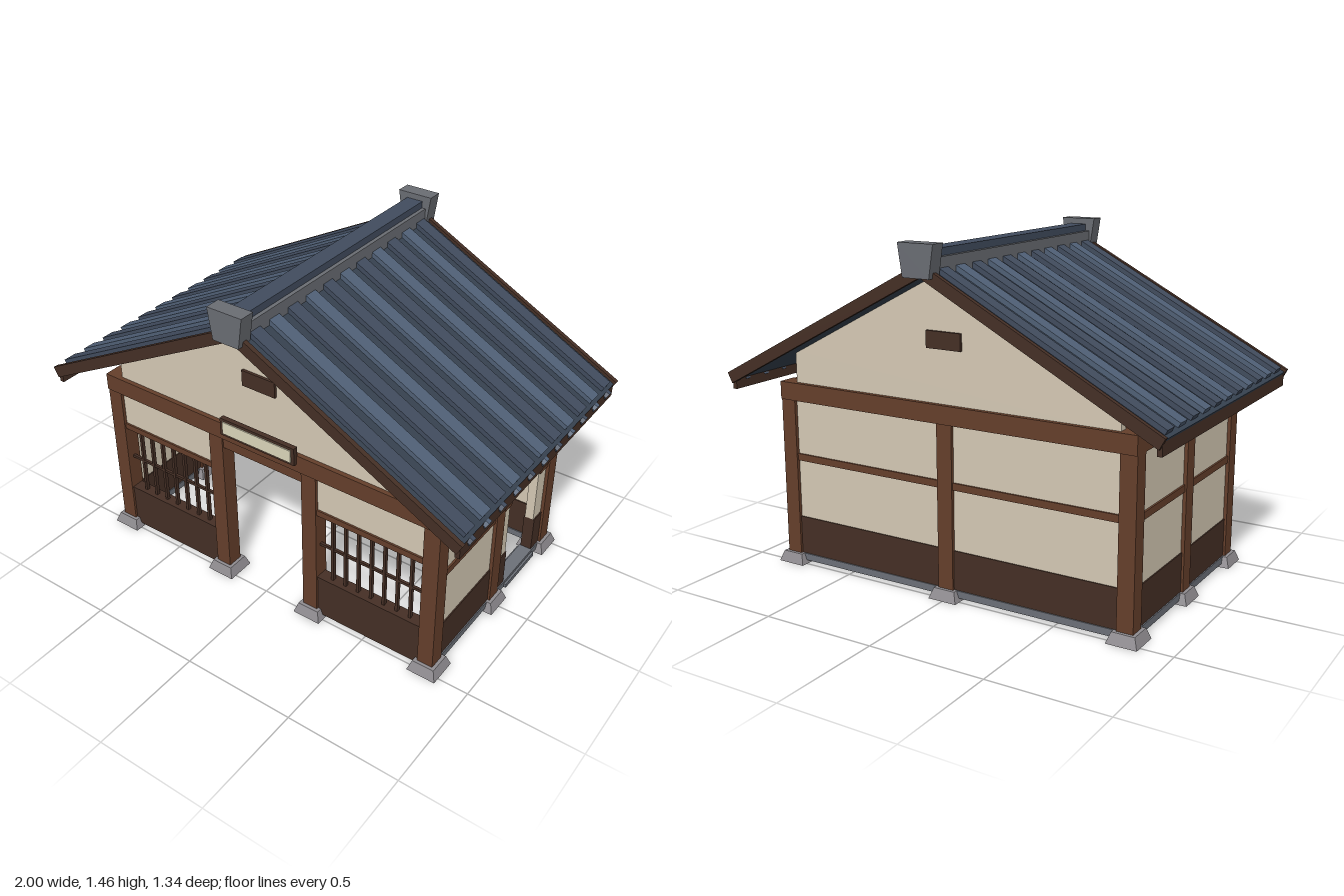
import * as THREE from 'three';

const mat = (color) => new THREE.MeshStandardMaterial({ color, flatShading: true });

export function createModel() {
  const house = new THREE.Group();
  house.name = 'house';
  const M = {
    timber: mat(0x653f2b), dark: mat(0x452f25), plaster: mat(0xd6cab5), stone: mat(0x8f8c90),
    sill: mat(0x6c7078), ridge: mat(0x6a6d73), tile: mat(0x414c5e), tileLight: mat(0x506076),
    slab: mat(0x36414f), sign: mat(0xdcd7bb),
  };
  const add = (name, geo, m) => {
    const mesh = new THREE.Mesh(geo, m);
    mesh.name = name;
    house.add(mesh);
    return mesh;
  };
  // box given by its min and max on each axis
  const box = (name, m, x0, x1, y0, y1, z0, z1) => {
    const b = add(name, new THREE.BoxGeometry(x1 - x0, y1 - y0, z1 - z0), m);
    b.position.set((x0 + x1) / 2, (y0 + y1) / 2, (z0 + z1) / 2);
    return b;
  };
  // outline in x, y pushed along z
  const prism = (name, m, pts, z0, z1) => {
    const shape = new THREE.Shape(pts.map(([x, y]) => new THREE.Vector2(x, y)));
    const geo = new THREE.ExtrudeGeometry(shape, { depth: z1 - z0, bevelEnabled: false });
    return add(name, geo.translate(0, 0, z0), m);
  };

  const WX = 0.8, WZ = 0.465, P = 0.035, T = 0.02;

  // posts on tapered footing stones
  const posts = [[0, -WZ], [-0.235, WZ], [0.235, WZ]];
  for (const s of [-1, 1]) for (const z of [-WZ, 0, WZ]) posts.push([s * WX, z]);
  for (const [x, z] of posts) {
    box('post', M.timber, x - P, x + P, 0.04, 0.74, z - P, z + P);
    const g = new THREE.CylinderGeometry(0.049 * Math.SQRT2, 0.065 * Math.SQRT2, 0.045, 4);
    g.rotateY(Math.PI / 4);
    add('footingStone', g, M.stone).position.set(x, 0.0225, z);
  }

  // top beams
  for (const s of [-1, 1]) {
    box('crossBeam', M.timber, -0.835, 0.835, 0.733, 0.81, s * WZ - 0.04, s * WZ + 0.04);
    box('sideBeam', M.timber, s * WX - P, s * WX + P, 0.733, 0.808, -0.5, 0.5);
  }

  // one bay of wall; a and b run along x (back, front) or z (sides)
  const onX = (z) => (name, m, a, b, y0, y1, t) => box(name, m, a, b, y0, y1, z - t, z + t);
  const onZ = (x) => (name, m, a, b, y0, y1, t) => box(name, m, x - t, x + t, y0, y1, a, b);
  const solidBay = (put, a, b) => {
    put('plasterWall', M.plaster, a, b, 0.21, 0.735, T);
    put('wainscot', M.dark, a, b, 0.045, 0.212, T + 0.005);
    put('rail', M.timber, a, b, 0.467, 0.497, T + 0.008);
  };
  const sill = (put, a, b) => put('stoneSill', M.sill, a, b, 0.015, 0.045, 0.03);

  // back wall
  const back = onX(-WZ);
  for (const [a, b] of [[-0.765, -0.035], [0.035, 0.765]]) {
    solidBay(back, a, b);
    sill(back, a, b);
  }

  // side walls, with a doorway in the rear bay of the left one
  for (const s of [-1, 1]) {
    const side = onZ(s * WX);
    solidBay(side, 0.035, 0.43);
    sill(side, 0.035, 0.43);
    sill(side, -0.43, -0.035);
    if (s < 0) {
      solidBay(side, -0.43, -0.035);
    } else {
      solidBay(side, -0.43, -0.36);
      solidBay(side, -0.105, -0.035);
      side('plasterWall', M.plaster, -0.36, -0.105, 0.56, 0.735, T);
      side('sideDoorLintel', M.timber, -0.37, -0.09, 0.545, 0.572, 0.04);
      side('threshold', M.sill, -0.36, -0.105, 0.013, 0.032, 0.04);
    }
  }

  // front wall: latticed windows either side of an open doorway
  const front = onX(WZ);
  for (const [a, b] of [[-0.765, -0.27], [0.27, 0.765]]) {
    front('wainscot', M.dark, a, b, 0.018, 0.21, T + 0.005);
    front('windowSill', M.dark, a, b, 0.205, 0.22, T + 0.008);
    front('windowHeader', M.timber, a, b, 0.545, 0.572, T + 0.008);
    front('plasterWall', M.plaster, a, b, 0.57, 0.735, T);
    front('latticeRail', M.dark, a, b, 0.375, 0.387, 0.006);
    for (let i = 1; i < 8; i++) {
      const x = a + (b - a) * i / 8;
      front('latticeBar', M.dark, x - 0.006, x + 0.006, 0.21, 0.55, 0.008);
    }
  }
  front('doorLintel', M.timber, -0.2, 0.2, 0.68, 0.735, 0.028);

  // framed sign board
  box('signFrame', M.dark, -0.185, 0.185, 0.77, 0.85, 0.5, 0.522);
  box('signBoard', M.sign, -0.17, 0.17, 0.782, 0.838, 0.515, 0.527);

  // gables with a small vent
  const k = 0.525; // roof pitch
  for (const s of [-1, 1]) {
    prism('gable', M.plaster, [[-0.76, 0.8], [0.76, 0.8], [0.76, 1.345 - k * 0.76], [0, 1.345],
      [-0.76, 1.345 - k * 0.76]], s * WZ - T, s * WZ + T);
    box('gableVent', M.dark, -0.08, 0.08, 1.03, 1.1, s * (WZ + 0.012) - 0.02, s * (WZ + 0.012) + 0.02);
  }

  // sloping strip of roof from x0 to x1, cut square at the eave
  const slope = (name, m, s, top, thick, x0, x1, z0, z1) => {
    const n = thick / (1 + k * k);
    prism(name, m, [[x0, top - k * x0], [x1, top - k * x1], [x1 - n * k, top - k * x1 - n],
      [x0, top - thick - k * x0]].map(([x, y]) => [s * x, y]), z0, z1);
  };
  for (const s of [-1, 1]) {
    slope('roofSlab', M.slab, s, 1.365, 0.03, 0, 0.99, -0.626, 0.626);
    for (const e of [-1, 1]) slope('bargeBoard', M.dark, s, 1.38, 0.055, 0, 1, e * 0.635 - 0.01, e * 0.635 + 0.01);
    const fx = s * 0.975;
    box('fascia', M.dark, fx - 0.01, fx + 0.01, 0.785, 0.84, -0.632, 0.632);
    // raised tile rows with round end tiles
    for (let i = -5; i <= 5; i++) {
      const z = i * 0.1127, m = i % 2 ? M.tile : M.tileLight;
      slope('tileRow', m, s, 1.388, 0.03, 0.03, 0.985, z - 0.03, z + 0.03);
      const g = new THREE.CylinderGeometry(0.02, 0.02, 0.03, 6);
      g.rotateZ(Math.PI / 2 - 0.48);
      add('endTile', g, m).position.set(s > 0 ? 0.983 : -0.95, 0.828, z);
    }
  }

  // ridge with flared end blocks
  box('ridgeBase', M.ridge, -0.055, 0.055, 1.335, 1.4, -0.61, 0.61);
  box('ridgeCap', M.tile, -0.038, 0.038, 1.4, 1.43, -0.61, 0.61);
  for (const s of [-1, 1]) {
    prism('ridgeEnd', M.ridge, [[-0.06, 1.325], [0.06, 1.325], [0.08, 1.455], [-0.08, 1.455]],
      s * 0.635 - 0.033, s * 0.635 + 0.033);
  }
  return house;
}
